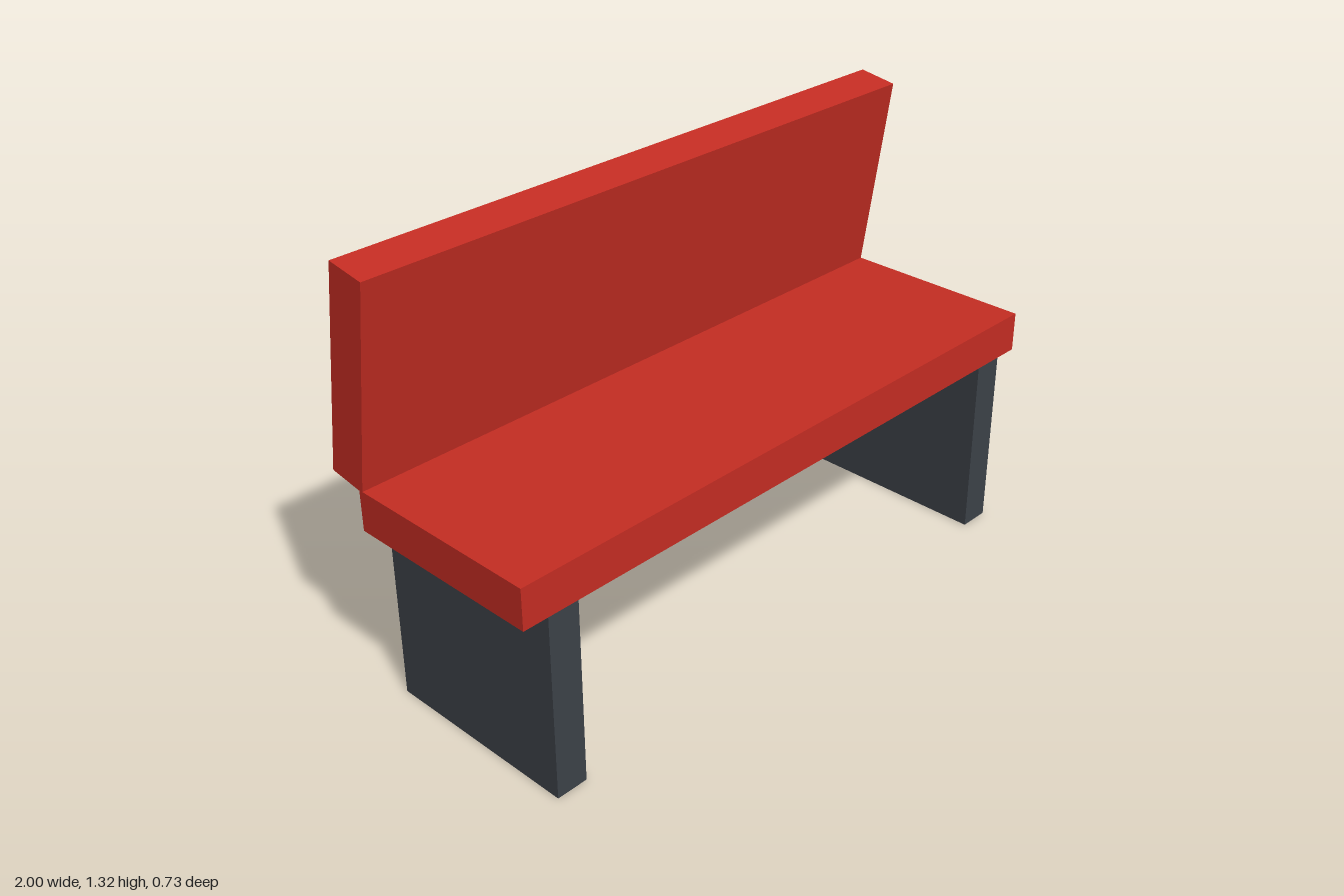
import * as THREE from 'three';

export function createModel() {
  const group = new THREE.Group();
  group.name = 'bench';

  const red = new THREE.MeshStandardMaterial({ color: 0xc62d23 });
  red.name = 'red paint';
  const grey = new THREE.MeshStandardMaterial({ color: 0x3d4249 });
  grey.name = 'dark grey';

  const addBox = (name, material, size, position) => {
    const mesh = new THREE.Mesh(new THREE.BoxGeometry(...size), material);
    mesh.name = name;
    mesh.position.set(...position);
    group.add(mesh);
    return mesh;
  };

  // Seat slab
  addBox('seat', red, [2, 0.123, 0.622], [0, 0.6275, 0.055]);

  // Backrest, its top leaning toward the front
  const backrest = addBox('backrest', red, [2, 0.624, 0.123], [0, 1.003, -0.2575]);
  backrest.rotation.x = 0.15;

  // Slab legs, mirrored, as deep as the seat
  for (const side of [-1, 1]) {
    addBox(side > 0 ? 'leftLeg' : 'rightLeg', grey, [0.098, 0.566, 0.622], [side * 0.873, 0.283, 0.055]);
  }

  return group;
}
